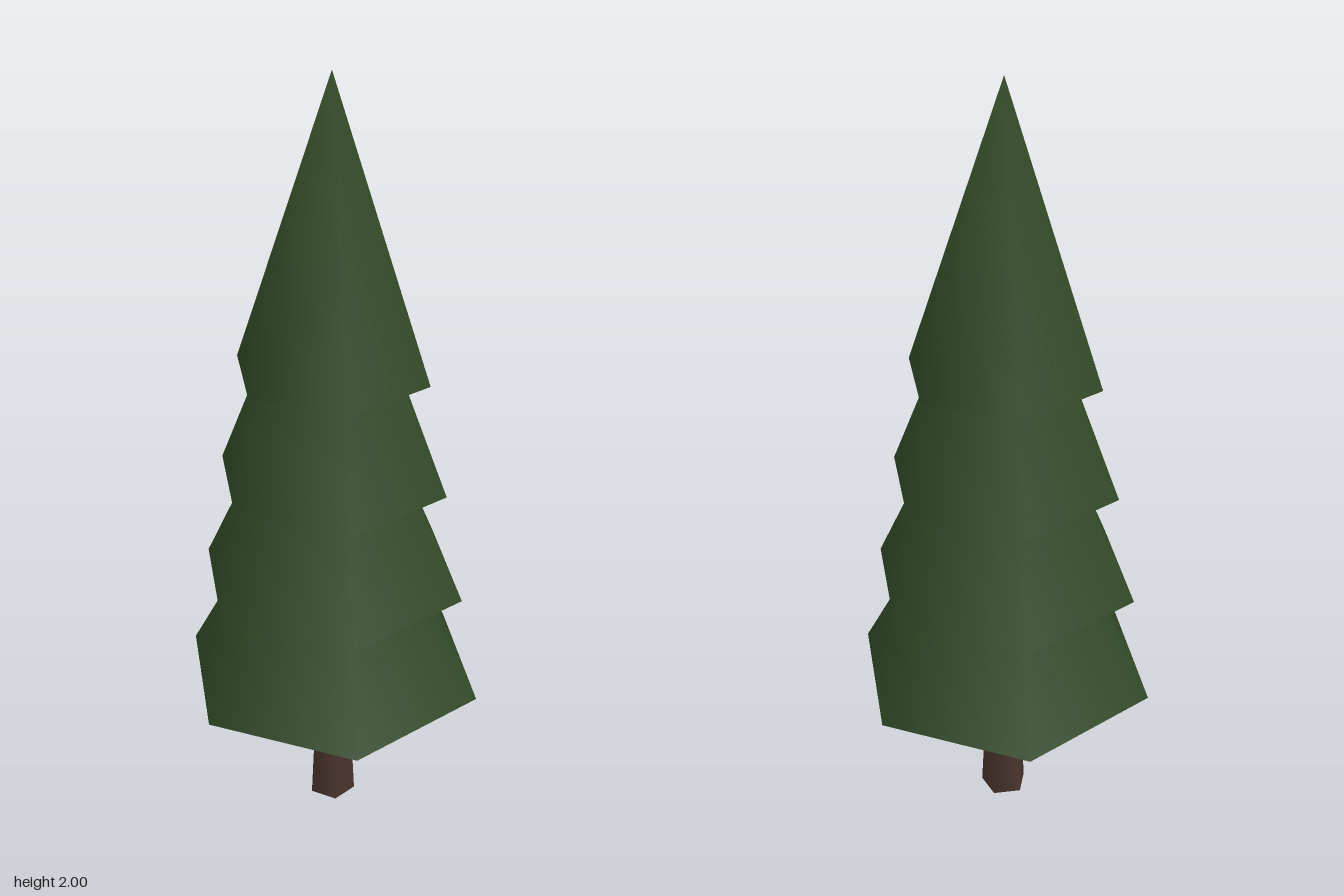
import * as THREE from 'three';
import { mergeVertices } from 'three/addons/utils/BufferGeometryUtils.js';

const needles = new THREE.MeshStandardMaterial({ color: 0x304826 });
needles.name = 'needleGreen';
const bark = new THREE.MeshStandardMaterial({ color: 0x4a342d });
bark.name = 'barkBrown';

// Open six-sided cone, welded so the shading runs smoothly over its tip
function smoothCone(radius, height) {
  const cone = new THREE.ConeGeometry(radius, height, 6, 1, true);
  cone.deleteAttribute('normal');
  cone.deleteAttribute('uv');
  const welded = mergeVertices(cone);
  welded.computeVertexNormals();
  return welded;
}

export function createModel() {
  const tree = new THREE.Group();
  tree.name = 'pineTree';

  // Tapered five-sided trunk
  const trunk = new THREE.Mesh(new THREE.CylinderGeometry(0.042, 0.062, 0.41, 5), bark);
  trunk.name = 'trunk';
  trunk.position.y = 0.205;
  tree.add(trunk);

  // Four overlapping tiers, smaller towards the top
  for (let i = 0; i < 4; i++) {
    const radius = 0.4 - 0.05 * i;
    const base = 0.4 + 0.29 * i;
    const height = i === 3 ? 2 - base : 0.75;
    const tier = new THREE.Group();
    tier.name = `foliageTier${i + 1}`;
    tier.position.y = base;

    const side = new THREE.Mesh(smoothCone(radius, height), needles);
    side.name = 'foliageSide';
    side.position.y = height / 2;

    // Flat underside, its corners aligned with the cone
    const underside = new THREE.Mesh(new THREE.CircleGeometry(radius, 6, Math.PI / 2), needles);
    underside.name = 'foliageUnderside';
    underside.rotation.x = Math.PI / 2;

    tier.add(side, underside);
    tree.add(tier);
  }
  return tree;
}
